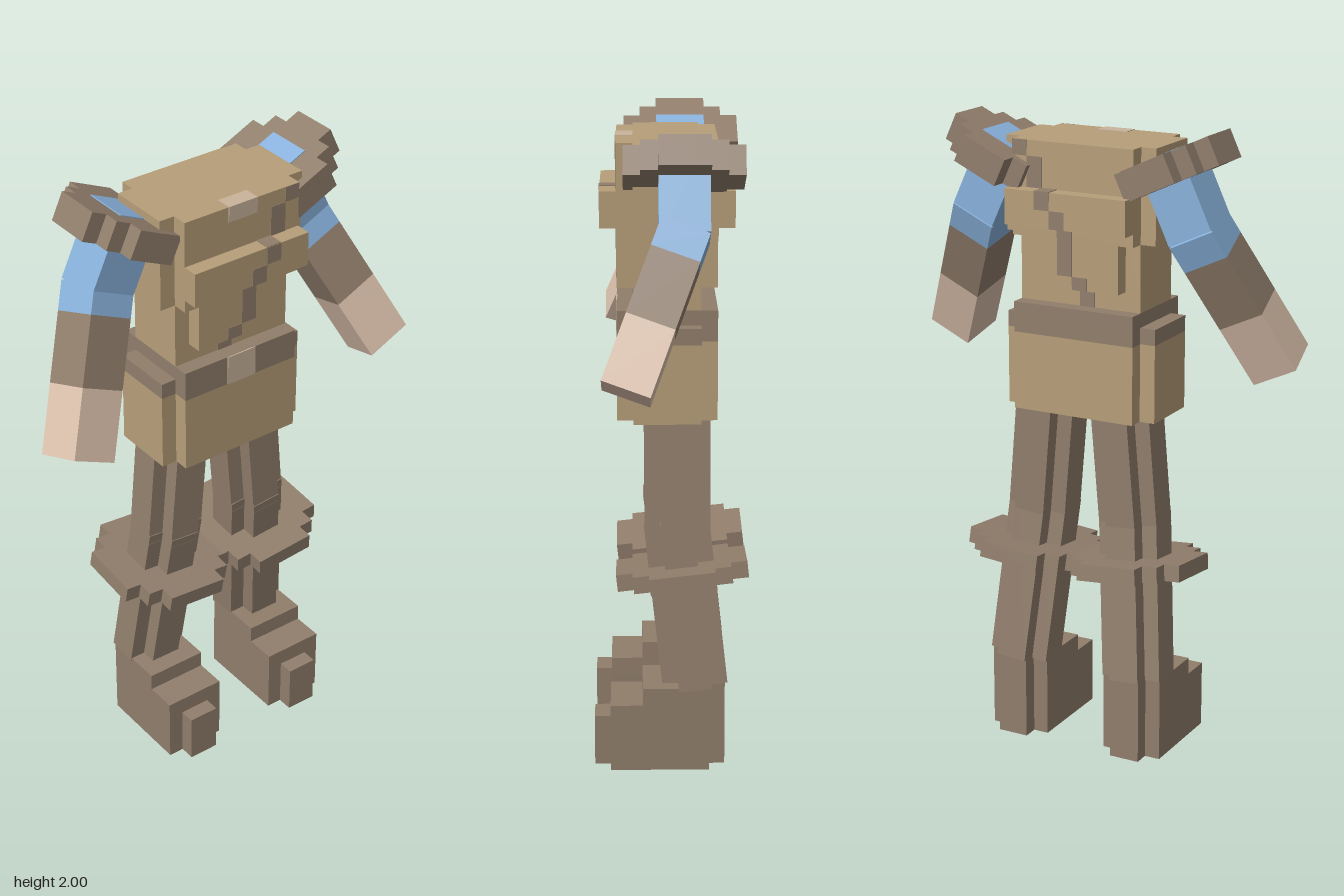
import * as THREE from 'three';

const mat = (name, color) => Object.assign(new THREE.MeshStandardMaterial({ color }), { name });

export function createModel() {
  const tan = mat('tan leather', 0xb79e79);
  const brown = mat('brown leather', 0x917e6c);
  const blue = mat('blue sleeve', 0x88b1db);
  const skin = mat('skin', 0xdcc1ac);
  const pale = mat('pale buckle', 0xc9b49b);
  const model = new THREE.Group();

  function add(parent, name, geometry, material) {
    const mesh = new THREE.Mesh(geometry, material);
    mesh.name = name;
    parent.add(mesh);
    return mesh;
  }

  function group(parent, name, x, y, z) {
    const g = new THREE.Group();
    g.name = name;
    g.position.set(x, y, z);
    parent.add(g);
    return g;
  }

  // Box given by its limits on each axis
  function box(x0, x1, y0, y1, z0, z1) {
    return new THREE.BoxGeometry(x1 - x0, y1 - y0, z1 - z0)
      .translate((x0 + x1) / 2, (y0 + y1) / 2, (z0 + z1) / 2);
  }

  // Upright prism with a stepped outline; rows are [z0, z1, half width]
  function prism(rows, y0, y1, cx = 0) {
    const right = rows.flatMap(([z0, z1, w]) => [[w, z0], [w, z1]]);
    const left = right.map(([w, z]) => [-w, z]).reverse();
    const shape = new THREE.Shape([...right, ...left].map(([x, z]) => new THREE.Vector2(x + cx, -z)));
    return new THREE.ExtrudeGeometry(shape, { depth: y1 - y0, bevelEnabled: false })
      .rotateX(-Math.PI / 2).translate(0, y0, 0);
  }

  // Rows of a round, stepped disc from its cell counts
  const discRows = (counts, c) => counts.map((n, i) =>
    [(i - counts.length / 2) * c, (i + 1 - counts.length / 2) * c, n * c / 2]);

  // Torso, in layers from the skirt up
  const torso = group(model, 'torso', 0, 0, 0);
  const wide = [[-0.14, -0.09, 0.205], [-0.09, 0.115, 0.255], [0.115, 0.165, 0.205]];
  const narrow = [[-0.14, -0.09, 0.155], [-0.09, 0.115, 0.205], [0.115, 0.165, 0.155]];
  const bulge = [[-0.19, -0.09, 0.205], [-0.09, 0.115, 0.255], [0.115, 0.215, 0.205]];
  const beltTop = [[-0.14, 0.165, 0.205]];
  const layers = [
    ['skirt', wide, 1.1, 1.345, tan],
    ['belt', wide, 1.345, 1.395, brown],
    ['beltRim', beltTop, 1.395, 1.44, brown],
    ['waist', [[-0.09, 0.115, 0.205]], 1.44, 1.5, tan],
    ['lowerChest', narrow, 1.5, 1.65, tan],
    ['midChest', wide, 1.65, 1.69, tan],
    ['chestBand', bulge, 1.69, 1.8, tan],
    ['upperChest', wide, 1.8, 1.943, tan],
  ];
  for (const [name, rows, y0, y1, m] of layers) add(torso, name, prism(rows, y0, y1, 0.005), m);

  // Diagonal strap, as thin plates on front and back: x0, x1, y0, y1, front z, back z
  const strap = [
    [0.16, 0.209, 1.895, 1.943, 0.165, -0.14],
    [0.108, 0.16, 1.8, 1.895, 0.165, -0.14],
    [0.057, 0.108, 1.745, 1.8, 0.215, -0.19],
    [0.006, 0.057, 1.69, 1.745, 0.215, -0.19],
    [0.006, 0.057, 1.54, 1.69, 0.165, -0.14],
    [-0.045, 0.006, 1.5, 1.54, 0.165, -0.14],
    [-0.045, 0.006, 1.44, 1.5, 0.115, -0.09],
  ];
  for (const [x0, x1, y0, y1, front, back] of strap) {
    add(torso, 'strapFront', box(x0, x1, y0, y1, front - 0.002, front + 0.002), brown);
    add(torso, 'strapBack', box(x0, x1, y0, y1, back - 0.002, back + 0.002), brown);
  }
  for (const z of [-0.19, 0.165]) {
    add(torso, 'strapLedge', box(0.057, 0.108, 1.798, 1.802, z, z + 0.05), brown);
  }

  // Buckle and collar patch
  add(torso, 'buckle', box(-0.045, 0.057, 1.345, 1.44, 0.163, 0.168), pale);
  add(torso, 'collarFront', box(-0.045, 0.057, 1.895, 1.945, 0.163, 0.168), pale);
  add(torso, 'collarTop', box(-0.045, 0.057, 1.94, 1.945, 0.115, 0.166), pale);

  for (const s of [-1, 1]) {
    const side = s > 0 ? 'left' : 'right';

    // Arm hangs outward from the shoulder pad, forearm bends forward
    const arm = group(model, side + 'Arm', s * 0.263, 1.922, -0.035);
    arm.rotation.z = s * 0.436;
    const w = 0.075;
    add(arm, 'upperArm', box(-w, w, -0.257, 0.003, -w, w), blue);
    add(arm, 'shoulderPad', prism(discRows([3, 5, 7, 7, 7, 5, 3], 0.051), -0.09, 0), brown);
    const forearm = group(arm, 'forearm', 0, -0.245, 0);
    forearm.rotation.x = -0.35;
    add(forearm, 'elbow', box(-w, w, -0.08, 0.01, -w, w), blue);
    add(forearm, 'cuff', box(-w, w, -0.29, -0.08, -w, w), brown);
    add(forearm, 'hand', box(-w, w, -0.5, -0.29, -w, w), skin);

    // Leg leans outward, shin leans back below the knee
    const cx = 0.0135;
    const legRows = discRows([2, 4, 4, 2], 0.0505);
    const leg = group(model, side + 'Leg', cx + s * 0.133, 1.1, -0.018);
    leg.rotation.z = s * 0.085;
    add(leg, 'thigh', prism(legRows, -0.36, 0.1), brown);
    const shin = group(leg, 'shin', 0, -0.35, 0);
    shin.rotation.x = 0.11;
    add(shin, 'shinGuard', prism(legRows, -0.5, 0.03), brown);
    add(shin, 'kneeRing', prism(discRows([4, 6, 8, 8, 8, 8, 6, 4], 0.0505), -0.16, -0.108), brown);

    // Boot with stepped toe
    const boot = group(model, side + 'Boot', cx + s * 0.203, 0, 0);
    const heel = [-0.165, -0.115, 0.05];
    add(boot, 'bootSole', prism([heel, [-0.115, 0.19, 0.1], [0.19, 0.24, 0.05]], 0, 0.16), brown);
    add(boot, 'bootInstep', prism([heel, [-0.115, 0.19, 0.1]], 0.16, 0.215), brown);
    add(boot, 'bootAnkle', prism([heel, [-0.115, 0.09, 0.1]], 0.215, 0.27), brown);
  }
  return model;
}
